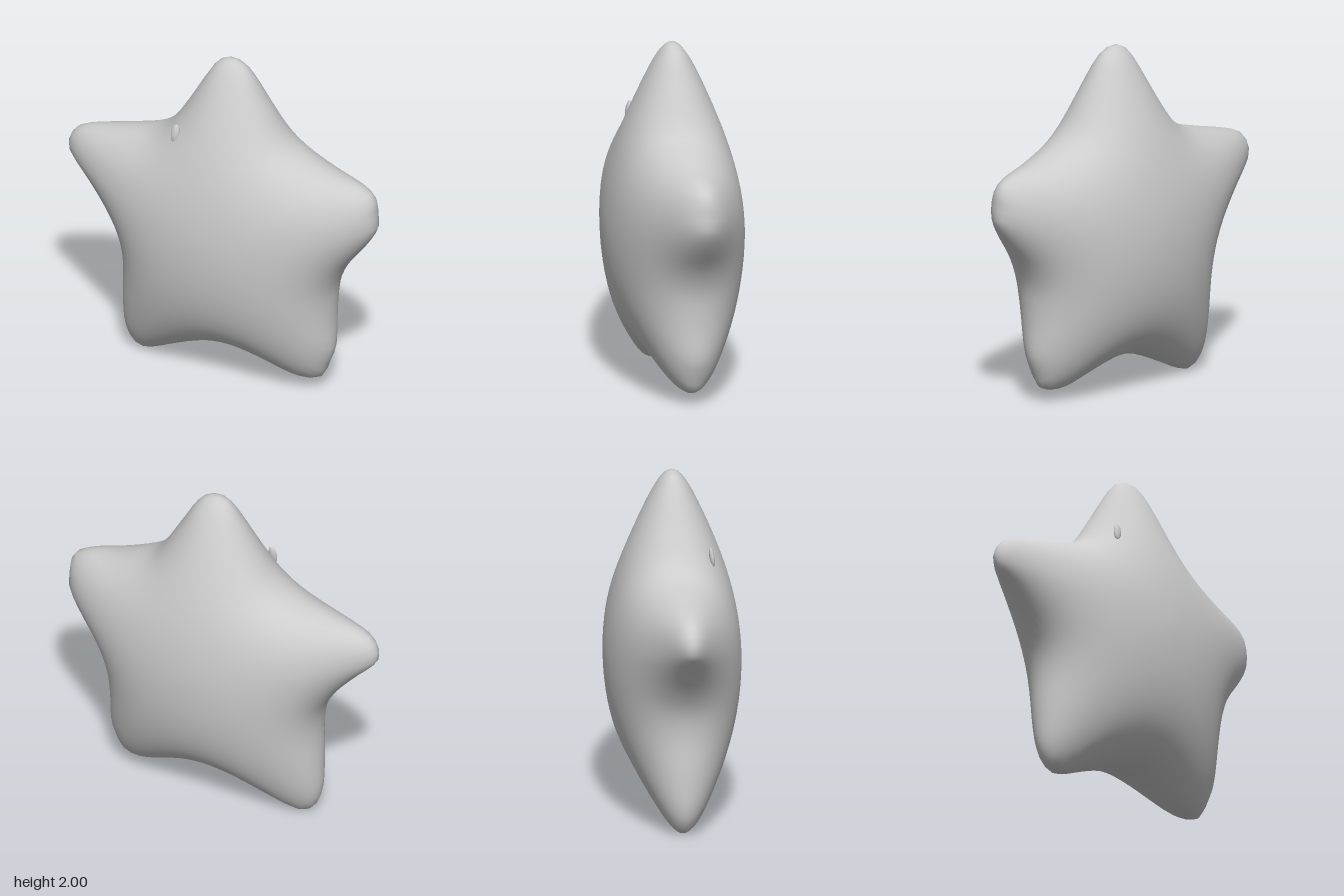
import * as THREE from 'three';

// Star outline seen from the front, clockwise from the top tip
const OUTLINE = [
  [0.03, 2], [0.1, 1.99], [0.16, 1.94], [0.27, 1.76], [0.38, 1.58], [0.44, 1.52], [0.54, 1.47],
  [0.7, 1.41], [0.86, 1.37], [0.96, 1.31], [0.978, 1.18], [0.983, 1.12], [0.93, 1.02],
  [0.87, 0.94], [0.78, 0.82], [0.72, 0.68], [0.705, 0.5], [0.705, 0.26], [0.675, 0.18],
  [0.63, 0.08], [0.5, 0.06], [0.4, 0.09], [0.27, 0.14], [0.13, 0.18], [0, 0.18],
  [-0.13, 0.145], [-0.3, 0.075], [-0.45, 0.01], [-0.52, 0], [-0.58, 0.045], [-0.62, 0.15],
  [-0.625, 0.35], [-0.615, 0.6], [-0.64, 0.74], [-0.72, 0.88], [-0.85, 1.03], [-0.96, 1.14],
  [-0.985, 1.18], [-0.98, 1.25], [-0.93, 1.32], [-0.84, 1.355], [-0.6, 1.41], [-0.42, 1.46],
  [-0.32, 1.53], [-0.22, 1.67], [-0.1, 1.87], [-0.03, 1.97],
];
const CENTRE = { x: 0.03, y: 0.95 };
const HALF_DEPTH = 0.39;
const SEGMENTS = 120;
const HALF_RINGS = 20;

// Index of a vertex in the disc of rings around the centre point
const discIndex = (k, i) => (k === 0 ? 0 : 1 + (k - 1) * SEGMENTS + (i % SEGMENTS));

// Flat disc filling the outline, with rings packed closer towards the rim
function flatDisc() {
  const curve = new THREE.CatmullRomCurve3(
    OUTLINE.map(([x, y]) => new THREE.Vector3(x, y, 0)), true, 'centripetal');
  const rim = curve.getSpacedPoints(SEGMENTS).slice(0, SEGMENTS);
  const points = [[CENTRE.x, CENTRE.y]];
  for (let k = 1; k <= HALF_RINGS; k++) {
    const s = Math.sin((Math.PI * k) / (2 * HALF_RINGS));
    for (const p of rim) {
      points.push([CENTRE.x + (p.x - CENTRE.x) * s, CENTRE.y + (p.y - CENTRE.y) * s]);
    }
  }
  return points;
}

// Triangles between rings; index(k, i) names the vertices
function ringTriangles(ringCount, closedEnd, index) {
  const triangles = [];
  for (let k = 0; k < ringCount; k++) {
    for (let i = 0; i < SEGMENTS; i++) {
      const a = index(k, i), b = index(k + 1, i), c = index(k + 1, i + 1), d = index(k, i + 1);
      if (k > 0) triangles.push([a, d, c]);
      if (!closedEnd || k < ringCount - 1) triangles.push([a, c, b]);
    }
  }
  return triangles;
}

// Inflate the disc like a membrane under pressure, held at the rim
function inflate(points) {
  const links = points.map(() => new Map());
  const load = new Float64Array(points.length);
  const link = (p, q, w) => links[p].set(q, (links[p].get(q) || 0) + w);
  for (const tri of ringTriangles(HALF_RINGS, false, discIndex)) {
    for (let n = 0; n < 3; n++) {
      const [o, p, q] = [tri[n], tri[(n + 1) % 3], tri[(n + 2) % 3]];
      const ux = points[p][0] - points[o][0], uy = points[p][1] - points[o][1];
      const vx = points[q][0] - points[o][0], vy = points[q][1] - points[o][1];
      const cross = Math.abs(ux * vy - uy * vx);
      const weight = (ux * vx + uy * vy) / (2 * cross);
      link(p, q, weight);
      link(q, p, weight);
      load[o] += cross / 6;
    }
  }
  const free = discIndex(HALF_RINGS, 0);
  const neighbours = links.slice(0, free).map((m) => [...m]);
  const totals = neighbours.map((list) => list.reduce((sum, [, w]) => sum + w, 0));
  const u = new Float64Array(points.length);
  for (let pass = 0; pass < 1500; pass++) {
    for (let v = 0; v < free; v++) {
      let sum = load[v];
      for (const [q, w] of neighbours[v]) sum += w * u[q];
      u[v] += 1.8 * (sum / totals[v] - u[v]);
    }
  }
  const top = u.reduce((m, h) => Math.max(m, h), 0);
  return Array.from(u, (h) => HALF_DEPTH * Math.sqrt(Math.max(0, h) / top));
}

// Closed skin: rings run from the front centre, over the rim, to the back centre
function puffyStarGeometry() {
  const points = flatDisc();
  const heights = inflate(points);
  const rings = 2 * HALF_RINGS;
  const positions = [];
  points.forEach(([x, y], v) => positions.push(x, y, heights[v]));
  for (let k = HALF_RINGS - 1; k >= 0; k--) {
    for (let i = 0; i < (k === 0 ? 1 : SEGMENTS); i++) {
      const v = discIndex(k, i);
      positions.push(points[v][0], points[v][1], -heights[v]);
    }
  }
  const geometry = new THREE.BufferGeometry();
  geometry.setAttribute('position', new THREE.Float32BufferAttribute(positions, 3));
  const last = positions.length / 3 - 1;
  const skinIndex = (k, i) => (k === rings ? last : discIndex(k, i));
  geometry.setIndex(ringTriangles(rings, true, skinIndex).flat());
  geometry.computeVertexNormals();
  return geometry;
}

export function createModel() {
  const group = new THREE.Group();
  group.name = 'puffyStar';
  const grey = new THREE.MeshStandardMaterial({ color: 0xcccccc });
  grey.name = 'light grey';

  const body = new THREE.Mesh(puffyStarGeometry(), grey);
  body.name = 'starBody';
  group.add(body);

  // Small flattened bead beside the upper arm
  const bead = new THREE.Mesh(new THREE.SphereGeometry(1, 16, 12), grey);
  bead.name = 'bead';
  bead.scale.set(0.025, 0.056, 0.015);
  bead.position.set(-0.21, 1.545, 0.2);
  bead.rotation.set(-0.15, 0, -0.12);
  group.add(bead);

  return group;
}
